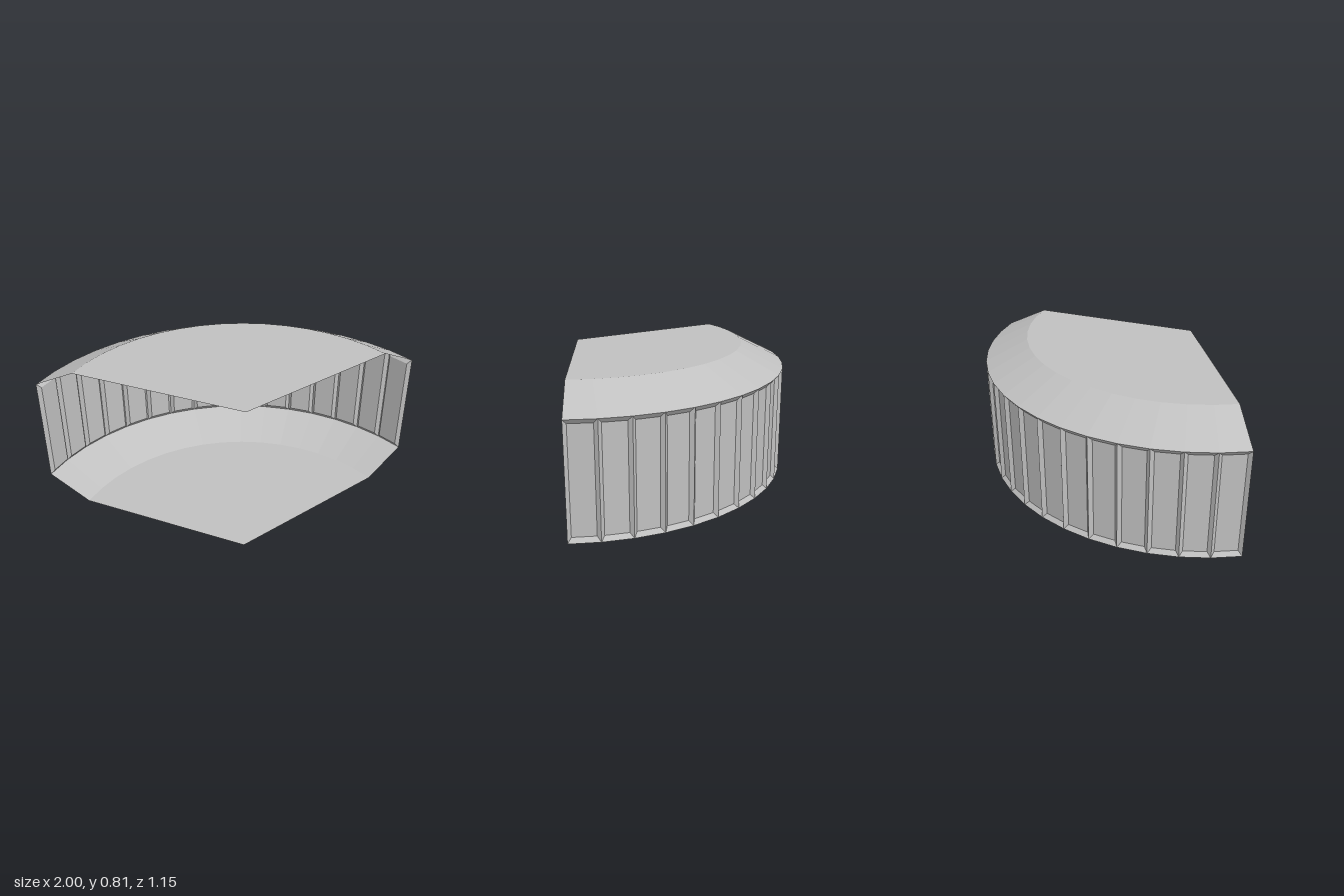
import * as THREE from 'three';

const APEX_Z = 0.577, RADIUS = 1.155, FLAT_RADIUS = 0.923;
const WALL_BOTTOM = 0.117, WALL_TOP = 0.695, HEIGHT = 0.81;
const PANELS = 16, ARC = Math.PI * 2 / 3;

// One wall panel facing +z: a recessed face with a bevelled frame
function panelGeometry(width, height) {
  const insetX = 0.018, insetY = 0.023, depth = 0.018;
  const rect = (w, h, z) => [[-w, -h, z], [w, -h, z], [w, h, z], [-w, h, z]];
  const outer = rect(width / 2, height / 2, 0);
  const inner = rect(width / 2 - insetX, height / 2 - insetY, -depth);
  const positions = [];
  const quad = (a, b, c, d) => positions.push(...a, ...b, ...c, ...a, ...c, ...d);
  quad(...inner);
  for (let i = 0; i < 4; i++) {
    const j = (i + 1) % 4;
    quad(outer[i], outer[j], inner[j], inner[i]);
  }
  const geometry = new THREE.BufferGeometry();
  geometry.setAttribute('position', new THREE.Float32BufferAttribute(positions, 3));
  geometry.computeVertexNormals();
  return geometry;
}

export function createModel() {
  const grey = new THREE.MeshStandardMaterial({ color: 0xc0c0c0, side: THREE.DoubleSide, flatShading: true });
  grey.name = 'light grey';
  const model = new THREE.Group();
  model.name = 'fanShapedShell';

  const add = (name, geometry, y, parent = model) => {
    const mesh = new THREE.Mesh(geometry, grey);
    mesh.name = name;
    mesh.position.set(0, y, APEX_Z);
    parent.add(mesh);
    return mesh;
  };

  // Flat sectors at the bottom and top
  const sector = (start, turn) =>
    new THREE.CircleGeometry(FLAT_RADIUS, PANELS, start, ARC).rotateX(turn);
  add('floor', sector(Math.PI * 7 / 6, Math.PI / 2), 0);
  add('roof', sector(Math.PI / 6, -Math.PI / 2), HEIGHT);

  // Sloping rims between the flats and the wall
  const rim = (topRadius, bottomRadius, height) =>
    new THREE.CylinderGeometry(topRadius, bottomRadius, height, PANELS, 1, true, ARC, ARC);
  add('lowerRim', rim(RADIUS, FLAT_RADIUS, WALL_BOTTOM), WALL_BOTTOM / 2);
  add('upperRim', rim(FLAT_RADIUS, RADIUS, HEIGHT - WALL_TOP), (HEIGHT + WALL_TOP) / 2);

  // Curved wall of recessed panels
  const wall = new THREE.Group();
  wall.name = 'wall';
  model.add(wall);
  const step = ARC / PANELS;
  const panel = panelGeometry(2 * RADIUS * Math.sin(step / 2), WALL_TOP - WALL_BOTTOM);
  panel.translate(0, 0, RADIUS * Math.cos(step / 2));
  for (let i = 0; i < PANELS; i++) {
    const mesh = add('wallPanel', panel, (WALL_TOP + WALL_BOTTOM) / 2, wall);
    mesh.rotation.y = ARC + (i + 0.5) * step;
  }
  return model;
}
